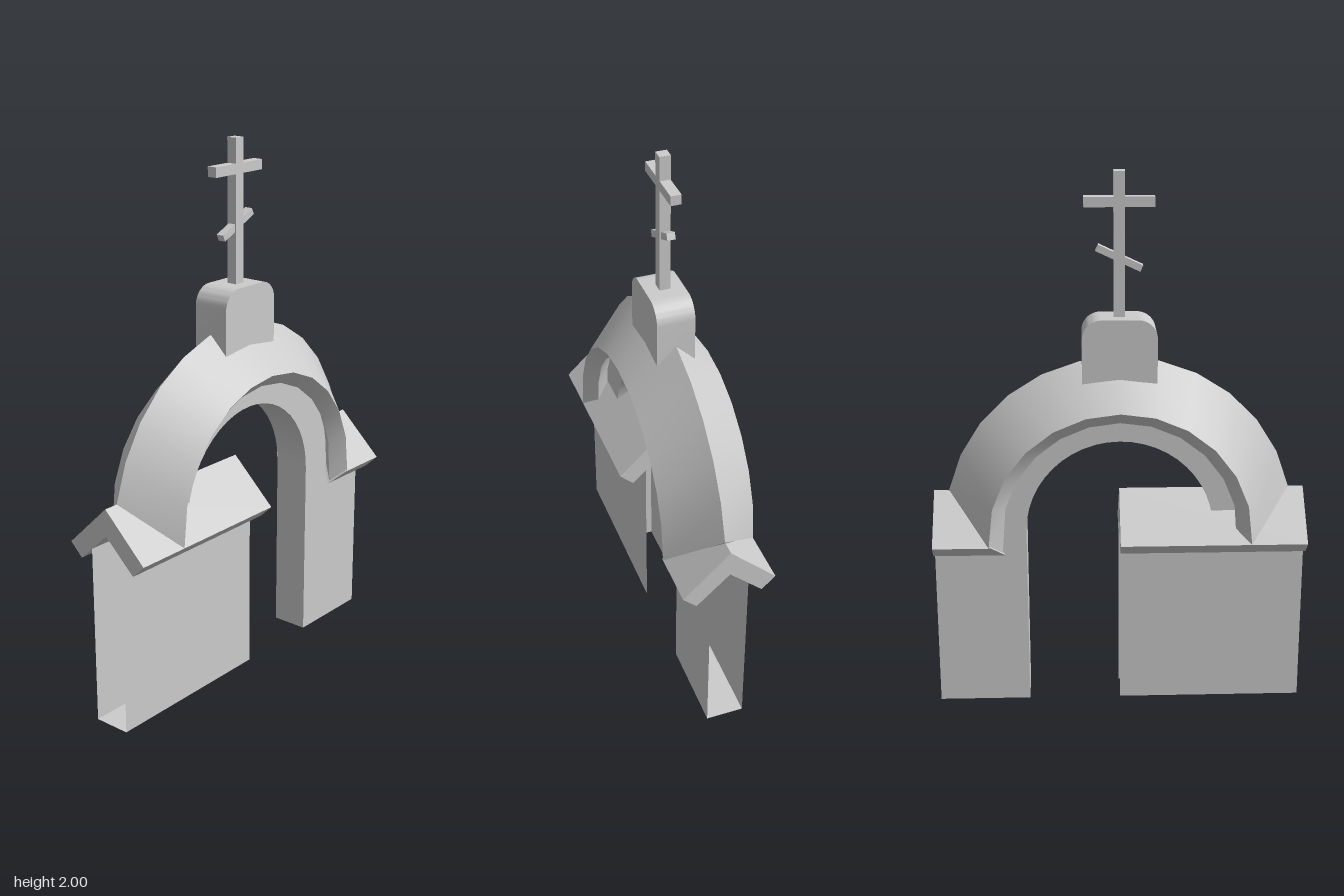
import * as THREE from 'three';
import { toCreasedNormals } from 'three/addons/utils/BufferGeometryUtils.js';

const grey = new THREE.MeshStandardMaterial({ color: 0xcccccc, side: THREE.DoubleSide });
grey.name = 'stoneGrey';

const SPRING = 0.69;   // height of the arch centre
const INNER = 0.345;   // radius of the gateway opening
const OUT = 0.685;     // outer end of the walls
const HALF = 0.07;     // half wall thickness
const DROP = 0.185;    // roof height = arch radius + DROP at the mitre

// Gabled roof section: [radius from arch centre, z]
const chevron = [[0.645, 0], [0.48, 0.172], [0.432, 0.122], [0.545, 0], [0.432, -0.122], [0.48, -0.172]];

// Joins chevron sections into a capped solid
function loft(sections) {
  const pos = [];
  const tri = (...pts) => pts.forEach((p) => pos.push(...p));
  const quad = (a, b, c, d) => { tri(a, b, c); tri(a, c, d); };
  for (let i = 0; i < sections.length - 1; i++) {
    const s = sections[i], t = sections[i + 1];
    s.forEach((p, j) => {
      const k = (j + 1) % s.length;
      quad(p, s[k], t[k], t[j]);
    });
  }
  const s = sections[0], e = sections[sections.length - 1];
  quad(s[3], s[2], s[1], s[0]);
  quad(s[5], s[4], s[3], s[0]);
  quad(e[0], e[1], e[2], e[3]);
  quad(e[0], e[3], e[4], e[5]);
  const geo = new THREE.BufferGeometry();
  geo.setAttribute('position', new THREE.Float32BufferAttribute(pos, 3));
  geo.computeVertexNormals();
  return toCreasedNormals(geo, 0.6);
}

export function createModel() {
  const model = new THREE.Group();
  model.name = 'archedGate';
  const add = (name, geo, x = 0, y = 0, z = 0, parent = model) => {
    const mesh = new THREE.Mesh(geo, grey);
    mesh.name = name;
    mesh.position.set(x, y, z);
    parent.add(mesh);
    return mesh;
  };

  // Front and back faces of the arched wall
  const face = new THREE.Shape();
  face.moveTo(-OUT, 0);
  face.lineTo(-INNER, 0);
  face.lineTo(-INNER, SPRING);
  face.absarc(0, SPRING, INNER, Math.PI, 0, true);
  face.lineTo(INNER, 0);
  face.lineTo(OUT, 0);
  face.lineTo(OUT, SPRING);
  face.lineTo(0.52, SPRING);
  face.absarc(0, SPRING, 0.52, 0, Math.PI, false);
  face.lineTo(-OUT, SPRING);
  face.closePath();
  for (const side of [1, -1]) {
    const turn = side > 0 ? 0 : Math.PI;
    const name = side > 0 ? 'Front' : 'Back';
    add('archWall' + name, new THREE.ShapeGeometry(face, 12), 0, 0, side * HALF).rotation.y = turn;
    // Thin sheet that continues the wall on one side of the opening
    add('sideWall' + name, new THREE.PlaneGeometry(INNER, SPRING), -INNER / 2, SPRING / 2, side * HALF).rotation.y = turn;
    // Inner face and underside of each leg
    add('legInnerFace', new THREE.PlaneGeometry(2 * HALF, SPRING), side * INNER, SPRING / 2).rotation.y = -side * Math.PI / 2;
    add('legBottom', new THREE.PlaneGeometry(OUT - INNER, 2 * HALF), side * (OUT + INNER) / 2, 0).rotation.x = Math.PI / 2;
  }

  // Curved underside of the arch
  const soffit = new THREE.CylinderGeometry(INNER, INNER, 2 * HALF, 24, 1, true, Math.PI / 2, Math.PI);
  add('archSoffit', soffit.rotateX(Math.PI / 2), 0, SPRING);

  // Straight roofs: a full one, and a short one mitred against the arch
  const straight = (xAt) => chevron.map(([r, z]) => [xAt(r), r + DROP, z]);
  add('longRoof', loft([straight(() => -OUT), straight(() => 0)]));
  add('shortRoof', loft([straight((r) => r - 0.01), straight(() => OUT)]));

  // Gabled roof bent over the arch
  const steps = 12;
  const bent = [];
  for (let i = 0; i <= steps; i++) {
    bent.push(chevron.map(([r, z]) => {
      const low = Math.max(0, Math.asin((r + DROP - SPRING) / r));
      const a = Math.PI - low - (Math.PI - 2 * low) * i / steps;
      const end = i === 0 || i === steps;
      return [r * Math.cos(a), end ? r + DROP : SPRING + r * Math.sin(a), z];
    }));
  }
  add('archRoof', loft(bent));

  // Round-shouldered block on the crown
  const w = 0.135, top = 1.485, rad = 0.07;
  const block = new THREE.Shape();
  block.moveTo(-w, 1.2);
  block.lineTo(w, 1.2);
  block.lineTo(w, top - rad);
  block.absarc(w - rad, top - rad, rad, 0, Math.PI / 2, false);
  block.absarc(-w + rad, top - rad, rad, Math.PI / 2, Math.PI, false);
  block.closePath();
  const blockGeo = new THREE.ExtrudeGeometry(block, { depth: 2 * HALF, bevelEnabled: false, curveSegments: 6 });
  add('crownBlock', toCreasedNormals(blockGeo, 0.6), 0, 0, -HALF);

  // Cross with a level bar and a slanted bar
  const cross = new THREE.Group();
  cross.name = 'cross';
  model.add(cross);
  add('crossPost', new THREE.BoxGeometry(0.04, 0.53, 0.04), 0, 1.735, 0, cross);
  add('crossBar', new THREE.BoxGeometry(0.25, 0.036, 0.038), 0, 1.893, 0, cross);
  add('slantedBar', new THREE.BoxGeometry(0.175, 0.025, 0.03), 0, 1.695, 0, cross).rotation.z = 0.44;

  return model;
}
